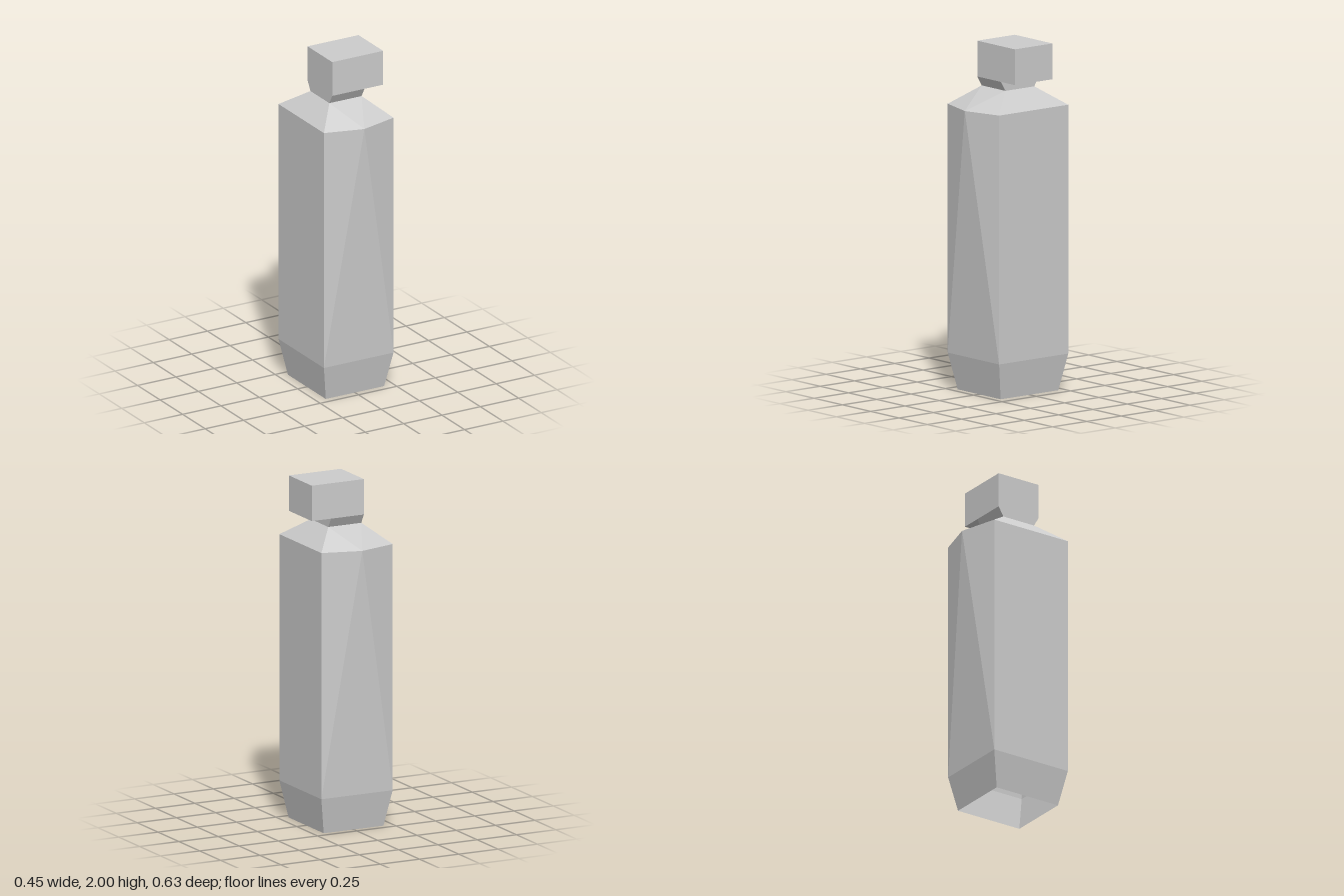
import * as THREE from 'three';

const material = new THREE.MeshStandardMaterial({ color: 0xcccccc, flatShading: true, side: THREE.DoubleSide });

// Six-point ring: four corners plus a ridge point in the middle of the front and back
function ring(y, x, z, ridge = z) {
  return [[x, z], [0, ridge], [-x, z], [-x, -z], [0, -ridge], [x, -z]].map(([px, pz]) => [px, y, pz]);
}

// Joins two rings; ridgeUp picks whether the creases run to the upper or lower ridge point
function band(name, low, up, ridgeUp) {
  const pos = [];
  for (let i = 0; i < 6; i++) {
    const j = (i + 1) % 6;
    const a = low[i], b = low[j], c = up[j], d = up[i];
    const endsOnRidge = j % 3 === 1;
    const tris = endsOnRidge === ridgeUp ? [a, c, b, a, d, c] : [a, d, b, b, d, c];
    tris.forEach((p) => pos.push(...p));
  }
  const geometry = new THREE.BufferGeometry();
  geometry.setAttribute('position', new THREE.Float32BufferAttribute(pos, 3));
  geometry.computeVertexNormals();
  const mesh = new THREE.Mesh(geometry, material);
  mesh.name = name;
  return mesh;
}

export function createModel() {
  const group = new THREE.Group();
  group.name = 'bottle';

  const foot = ring(0, 0.19, 0.21);
  const waist = ring(0.21, 0.227, 0.252);
  const top = ring(1.635, 0.227, 0.252, 0.315);
  const neckLow = ring(1.74, 0.105, 0.105);
  const neckHigh = ring(1.795, 0.105, 0.137);

  // Open-bottomed body with ridged front and back
  group.add(
    band('base', foot, waist, true),
    band('body', waist, top, true),
    band('shoulder', top, neckLow, false),
    band('neck', neckLow, neckHigh, true),
  );

  // Cap overhanging to one side
  const cap = new THREE.Mesh(new THREE.BoxGeometry(0.332, 0.205, 0.274), material);
  cap.name = 'cap';
  cap.position.set(0.061, 1.8975, 0);
  group.add(cap);

  return group;
}
